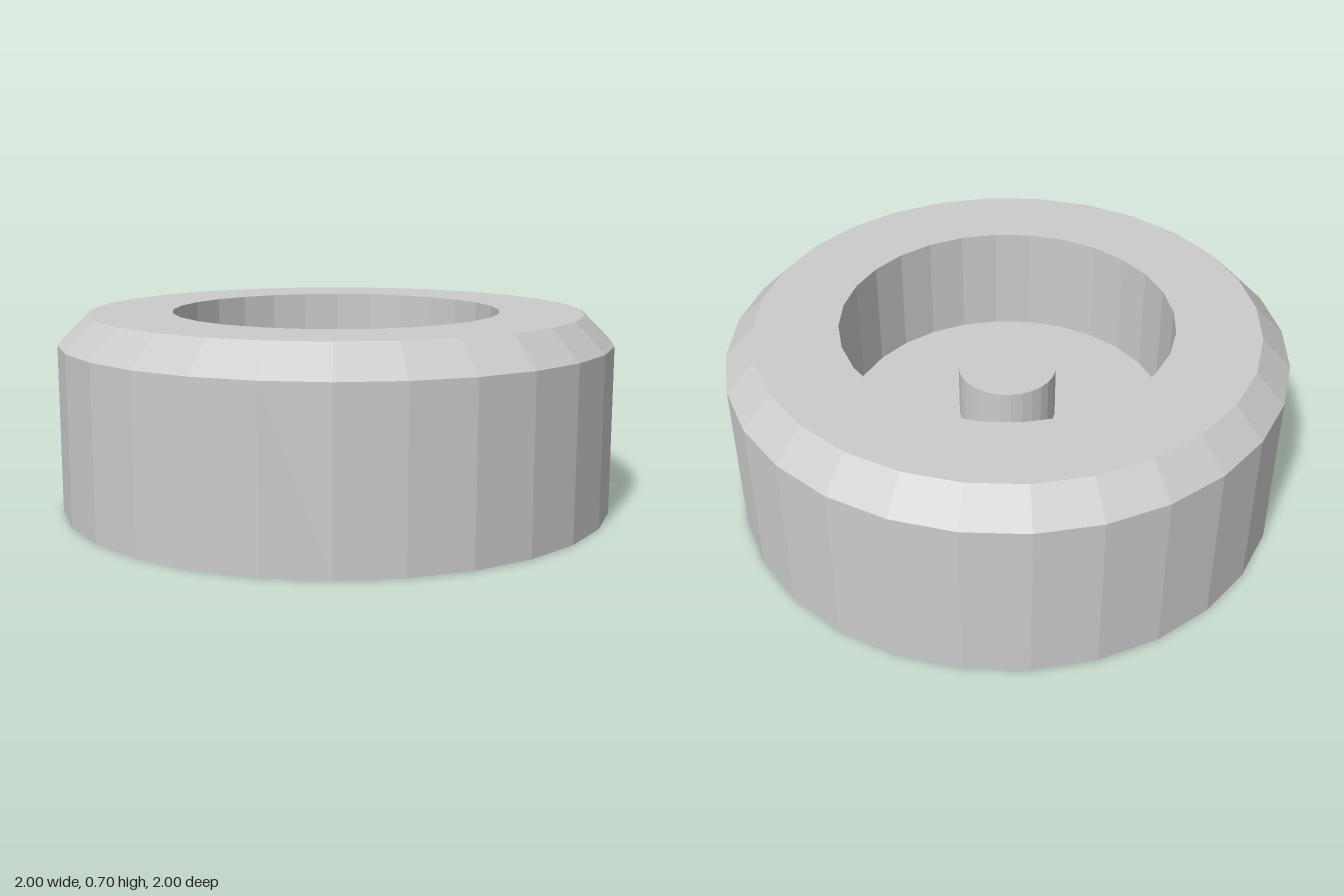
import * as THREE from 'three';

const SIDES = 28;

// Faceted solid of revolution from [radius, height] pairs, listed from the underside outward and up
function turned(name, profile, material) {
  const points = profile.map(([r, y]) => new THREE.Vector2(r, y));
  const geometry = new THREE.LatheGeometry(points, SIDES).toNonIndexed();
  geometry.computeVertexNormals();
  const mesh = new THREE.Mesh(geometry, material);
  mesh.name = name;
  return mesh;
}

export function createModel() {
  const model = new THREE.Group();
  model.name = 'roundDish';
  const grey = new THREE.MeshStandardMaterial({ color: 0xcccccc, flatShading: true });

  // Body: recessed base, straight wall, chamfered rim and a sunken well
  model.add(turned('body', [
    [0, 0.08], [0.895, 0.08], [0.895, 0], [1, 0],
    [1, 0.6], [0.895, 0.705],
    [0.595, 0.705], [0.595, 0.3], [0, 0.3],
  ], grey));

  // Short peg standing in the middle of the well
  model.add(turned('centrePeg', [[0.177, 0.3], [0.177, 0.5], [0, 0.5]], grey));

  return model;
}
